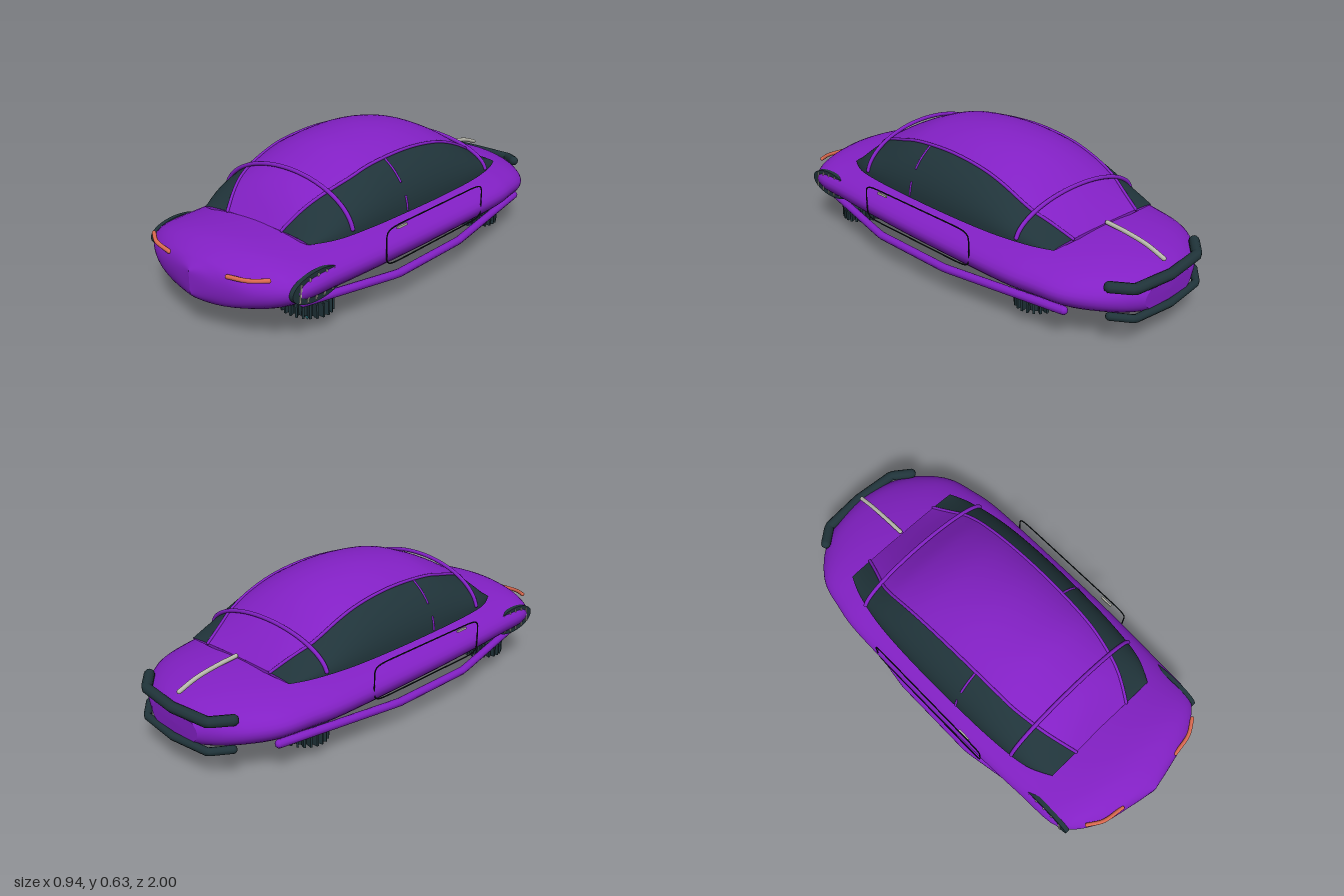
import * as THREE from 'three';

const mat = (name, color) => Object.assign(new THREE.MeshStandardMaterial({ color }), { name });

// Smoothly resample rows of numbers, column by column
function resample(rows, n) {
  const cols = rows[0].map((_, c) => new THREE.SplineCurve(rows.map((r, i) => new THREE.Vector2(i, r[c]))));
  return Array.from({ length: n + 1 }, (_, i) => cols.map(c => c.getPoint(i / n).y));
}

// Skin a list of equally long rings, ordered from rear to front
function loft(rings, closed) {
  const m = rings[0].length, pos = rings.flat(2), idx = [];
  for (let i = 0; i < rings.length - 1; i++) {
    for (let j = 0; j < (closed ? m : m - 1); j++) {
      const a = i * m + j, b = i * m + (j + 1) % m;
      idx.push(a, b, a + m, b, b + m, a + m);
    }
  }
  const g = new THREE.BufferGeometry();
  g.setAttribute('position', new THREE.Float32BufferAttribute(pos, 3));
  g.setIndex(idx);
  g.computeVertexNormals();
  return g;
}

export function createModel() {
  const root = new THREE.Group();
  root.name = 'hoverCar';
  const purple = mat('purplePaint', 0x8220c4);
  const dark = mat('darkGlass', 0x20343a);
  const silver = mat('silverTrim', 0xb8b8ac);
  const orange = mat('orangeLamp', 0xdc6a50);
  const teal = mat('tealGlow', 0x45b0be);
  const black = mat('blackSeam', 0x10181a);

  const add = (name, geo, material, parent = root) => {
    const mesh = new THREE.Mesh(geo, material);
    mesh.name = name;
    parent.add(mesh);
    return mesh;
  };
  // Round bar with rounded ends; bent bars follow straight segments
  const bar = (name, pts, r, material, straight = false, parent = root) => {
    const v = pts.map(p => new THREE.Vector3(...p));
    let curve = new THREE.CatmullRomCurve3(v);
    if (straight) {
      curve = new THREE.CurvePath();
      for (let i = 1; i < v.length; i++) curve.add(new THREE.LineCurve3(v[i - 1], v[i]));
    }
    add(name, new THREE.TubeGeometry(curve, 40, r, 10), material, parent);
    for (const p of [v[0], v[v.length - 1]]) {
      add(name + 'End', new THREE.SphereGeometry(r, 10, 6), material, parent).position.copy(p);
    }
  };

  // Lower body: z, half width, bottom, top
  const hull = resample([
    [-0.97, 0.15, 0.115, 0.25], [-0.92, 0.25, 0.102, 0.285], [-0.85, 0.335, 0.097, 0.31],
    [-0.75, 0.405, 0.093, 0.333], [-0.62, 0.437, 0.092, 0.35], [-0.45, 0.459, 0.09, 0.357],
    [0, 0.461, 0.09, 0.362], [0.3, 0.456, 0.092, 0.365], [0.6, 0.442, 0.095, 0.365],
    [0.82, 0.42, 0.102, 0.355], [0.93, 0.29, 0.117, 0.32], [0.975, 0.13, 0.14, 0.29], [1, 0, 0.17, 0.265],
  ], 60);
  const hullRings = hull.map(([z, w, lo, hi]) => Array.from({ length: 48 }, (_, j) => {
    const a = j / 48 * Math.PI * 2, mid = lo + (hi - lo) * 0.53;
    return [w * Math.cos(a), mid + Math.sin(a) * (Math.sin(a) > 0 ? hi - mid : mid - lo), z];
  }));
  add('body', loft(hullRings, true), purple);
  add('tailPanel', loft([hullRings[0].map(() => [0, 0.185, -0.972]), hullRings[0]], true), purple);

  // Cabin: z, half width, top, share of the width where glass meets roof
  const base = 0.34;
  const cabin = resample([
    [-0.64, 0.31, 0.355, 0.64], [-0.56, 0.342, 0.41, 0.65], [-0.46, 0.365, 0.482, 0.7],
    [-0.35, 0.38, 0.55, 0.69], [-0.2, 0.388, 0.605, 0.675], [0, 0.39, 0.63, 0.667],
    [0.22, 0.385, 0.613, 0.66], [0.36, 0.378, 0.57, 0.65], [0.5, 0.363, 0.505, 0.6],
    [0.58, 0.34, 0.445, 0.56], [0.655, 0.3, 0.362, 0.52],
  ], 48);
  const cabinPoint = ([z, w, top], a, lift = 0) =>
    [(w + lift) * Math.cos(a), base + (top - base + lift) * Math.sin(a), z];
  const arc = (n, from, to) => cabin.map(s => Array.from({ length: n + 1 }, (_, j) =>
    cabinPoint(s, THREE.MathUtils.lerp(from(s), to(s), j / n))));
  const edge = s => Math.acos(s[3]);
  add('roof', loft(arc(24, edge, s => Math.PI - edge(s)), false), purple);
  add('leftWindow', loft(arc(10, () => 0, edge), false), dark);
  add('rightWindow', loft(arc(10, s => Math.PI - edge(s), () => Math.PI), false), dark);
  add('cabinFloor', loft(cabin.map(([z, w]) => [[-w, base, z], [w, base, z]]), false), dark);
  for (const i of [0, cabin.length - 1]) {
    const cap = new THREE.Shape(Array.from({ length: 17 }, (_, j) => {
      const p = cabinPoint(cabin[i], j / 16 * Math.PI);
      return new THREE.Vector2(p[0], p[1]);
    }));
    const end = add('cabinEnd', new THREE.ShapeGeometry(cap), purple);
    end.position.z = cabin[i][0];
    if (i === 0) end.rotation.y = Math.PI;
  }

  // Hoops over the cabin
  for (const [z, w, h] of [[0.47, 0.37, 0.198], [-0.485, 0.364, 0.138]]) {
    bar('roofHoop', Array.from({ length: 21 }, (_, j) => {
      const a = Math.PI * (0.04 + 0.92 * j / 20);
      return [w * Math.cos(a), base + h * Math.sin(a), z];
    }), 0.009, purple);
  }

  // Trunk strip
  bar('trunkStrip', [[0, 0.362, -0.65], [0, 0.352, -0.75], [0, 0.334, -0.85], [0, 0.304, -0.935]], 0.01, silver);

  // Rear bumpers
  for (const [name, y, dy, r, z] of [['upperBumper', 0.25, 0.018, 0.023, 0], ['lowerBumper', 0.125, 0.02, 0.017, -0.008]]) {
    bar(name, [[-0.275, y + dy, z - 0.89], [-0.2, y + 0.005, z - 0.955], [0, y, z - 0.973],
      [0.2, y + 0.005, z - 0.955], [0.275, y + dy, z - 0.89]], r, dark, true);
  }

  // Parts on both sides
  for (const s of [-1, 1]) {
    const side = s > 0 ? 'left' : 'right';
    bar(side + 'RoofRail', cabin.filter((_, i) => i % 3 === 0).map(c => {
      const p = cabinPoint(c, edge(c), 0.002);
      return [s * p[0], p[1], p[2]];
    }), 0.007, purple);

    // Short window pillar pieces
    const mid = cabin.reduce((a, b) => Math.abs(b[0] - 0.12) < Math.abs(a[0] - 0.12) ? b : a);
    for (const [a0, a1] of [[0.04, 0.24], [0.46, 0.82]]) {
      bar(side + 'Pillar', [0, 0.5, 1].map(t => {
        const p = cabinPoint(mid, a0 + (a1 - a0) * t);
        return [s * p[0], p[1], p[2]];
      }), 0.005, purple);
    }

    bar(side + 'Headlight', [[s * 0.17, 0.278, 0.955], [s * 0.27, 0.286, 0.938], [s * 0.335, 0.293, 0.9]], 0.009, orange);
    bar(side + 'Skirt', [[s * 0.37, 0.16, 0.76], [s * 0.452, 0.129, 0.28], [s * 0.452, 0.129, -0.15],
      [s * 0.37, 0.147, -0.75]], 0.018, purple, true);

    // Door outline: a thin rounded frame
    const door = Array.from({ length: 64 }, (_, i) => {
      const a = i / 64 * Math.PI * 2, c = Math.cos(a), d = Math.sin(a);
      return new THREE.Vector3(s * 0.457, 0.273 + 0.08 * Math.sign(d) * Math.abs(d) ** 0.3,
        0.028 + 0.34 * Math.sign(c) * Math.abs(c) ** 0.16);
    });
    add(side + 'DoorSeam', new THREE.TubeGeometry(new THREE.CatmullRomCurve3(door, true), 128, 0.003, 6, true), black);
    add(side + 'DoorHandle', new THREE.BoxGeometry(0.008, 0.01, 0.06), silver).position.set(s * 0.449, 0.334, 0.26);

    // Front vent, partly sunk in the body
    const vent = add(side + 'Vent', new THREE.CylinderGeometry(1, 1, 0.02, 40), dark);
    vent.scale.set(0.062, 1, 0.142);
    vent.rotation.z = Math.PI / 2;
    vent.position.set(s * 0.406, 0.233, 0.718);
    for (let i = 0; i < 5; i++) {
      const z = 0.82 - i * 0.045;
      const h = 0.105 * Math.sqrt(1 - ((z - 0.718) / 0.142) ** 2);
      const slat = add(side + 'VentSlat', new THREE.BoxGeometry(0.012, h, 0.007), silver);
      slat.position.set(s * 0.414, 0.233, z);
      slat.rotation.x = -0.15;
    }

    // Hover pads with blades and a glowing spike cluster
    for (const z of [0.64, -0.54]) {
      const pad = new THREE.Group();
      pad.name = side + (z > 0 ? 'Front' : 'Rear') + 'HoverPad';
      pad.position.set(s * 0.272, 0, z);
      pad.scale.x = 1.15;
      root.add(pad);
      add('padCore', new THREE.CylinderGeometry(0.08, 0.075, 0.06, 24), dark, pad).position.y = 0.09;
      add('padHub', new THREE.CylinderGeometry(0.055, 0.04, 0.02, 20), dark, pad).position.y = 0.053;
      for (let i = 0; i < 24; i++) {
        const a = i / 24 * Math.PI * 2;
        const blade = add('padBlade', new THREE.BoxGeometry(0.035, 0.06, 0.009), dark, pad);
        blade.position.set(0.084 * Math.cos(a), 0.092, 0.084 * Math.sin(a));
        blade.rotation.y = -a + 0.25;
      }
      add('spike', new THREE.ConeGeometry(0.026, 0.045, 6).rotateX(Math.PI), teal, pad).position.y = 0.0225;
      for (let i = 0; i < 5; i++) {
        const a = i / 5 * Math.PI * 2;
        add('smallSpike', new THREE.ConeGeometry(0.013, 0.026, 5).rotateX(Math.PI), teal, pad)
          .position.set(0.036 * Math.cos(a), 0.036, 0.036 * Math.sin(a));
      }
    }
  }
  return root;
}
